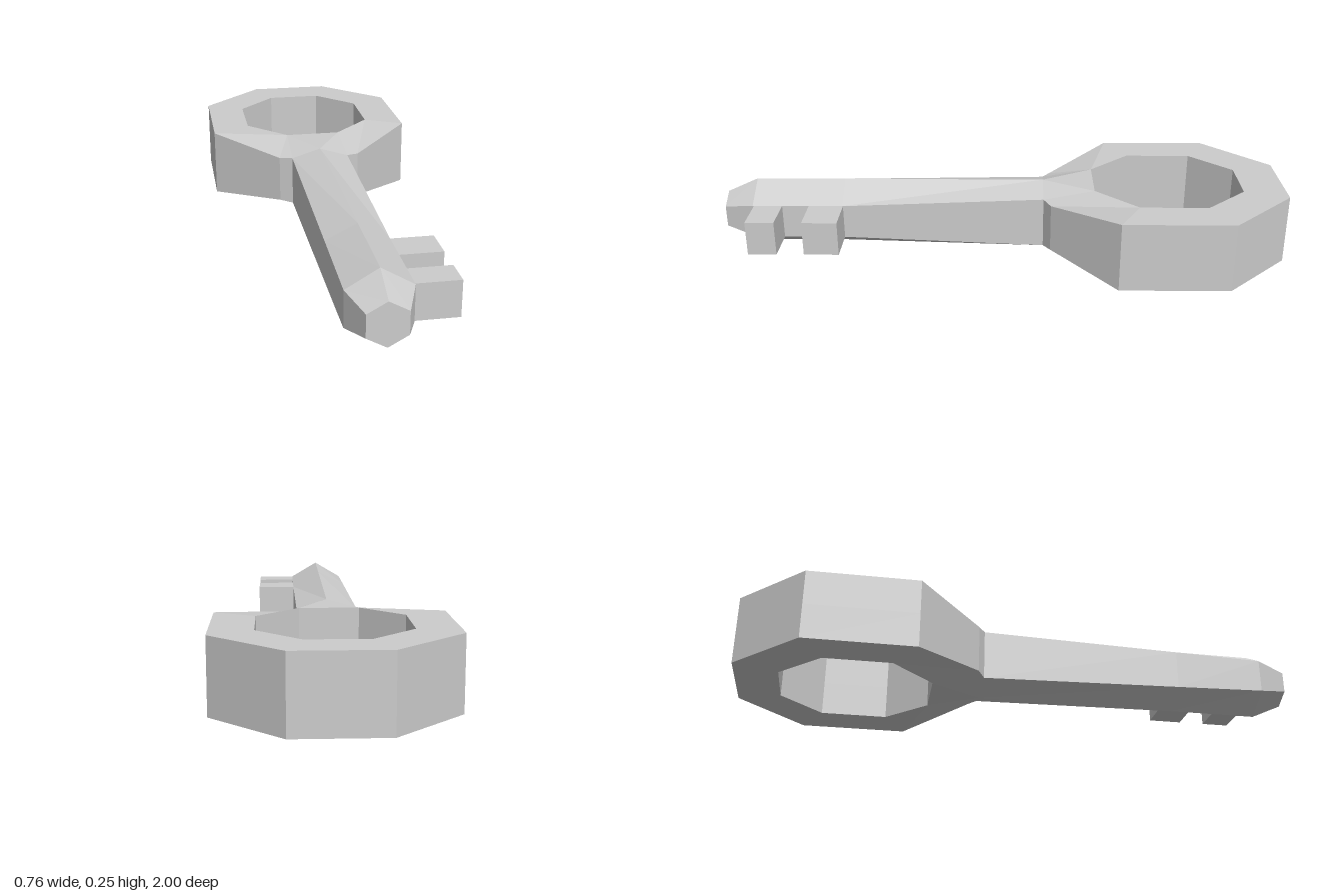
import * as THREE from 'three';

const H = 0.1225; // half the thickness of the key

// Flat-shaded geometry from polygons, each fanned from its first corner
function facesGeometry(faces) {
  const pos = [];
  for (const f of faces)
    for (let i = 1; i < f.length - 1; i++) pos.push(...f[0], ...f[i], ...f[i + 1]);
  const g = new THREE.BufferGeometry();
  g.setAttribute('position', new THREE.Float32BufferAttribute(pos, 3));
  g.computeVertexNormals();
  return g;
}

// Mirror the faces of one quarter across x and y, keeping them facing out
function mirrorQuarter(faces) {
  const out = [];
  for (const sx of [1, -1]) for (const sy of [1, -1])
    for (const f of faces) {
      const m = f.map(([x, y, z]) => [x * sx, y * sy, z]);
      out.push(sx * sy < 0 ? m.reverse() : m);
    }
  return out;
}

// Octagonal bow with its sloped joint to the shaft
function bowGeometry() {
  const outer = [[0.15, 0.085, -0.17], [0.378, H, -0.395], [0.378, H, -0.775], [0.15, H, -1], [0, H, -1]];
  const inner = [[0.1, H, -0.325], [0.24, H, -0.47], [0.24, H, -0.705], [0.1, H, -0.85], [0, H, -0.85]];
  const mid = ([x, , z]) => [x, 0, z];
  const wall = (a, b) => [mid(a), mid(b), b, a];
  const faces = [];
  for (let i = 0; i < 4; i++) {
    faces.push([outer[i], outer[i + 1], inner[i + 1], inner[i]]);
    faces.push(wall(outer[i], outer[i + 1]), wall(inner[i + 1], inner[i]));
  }
  const ridge = [0, H, -0.145], shoulder = [0.105, 0.09, -0.145], centre = [0, H, -0.325];
  faces.push([centre, ridge, inner[0]], [inner[0], ridge, shoulder], [shoulder, outer[0], inner[0]]);
  faces.push(wall(shoulder, outer[0]), wall(inner[0], centre));
  return facesGeometry(mirrorQuarter(faces));
}

// Hexagonal shaft with a tapered tip
function shaftGeometry() {
  // z, half width, ridge height, edge height on -x, edge height on +x
  const rings = [
    [1, 0.063, 0.0725, 0.0375, 0.0375],
    [0.89, 0.105, H, 0.0605, 0.0605],
    [0.57, 0.105, H, 0.07, 0.0605],
    [-0.145, 0.105, H, 0.09, 0.09],
  ].map(([z, w, t, l, r]) =>
    [[0, t, z], [-w, l, z], [-w, -l, z], [0, -t, z], [w, -r, z], [w, r, z]]);
  const faces = [rings[0]];
  for (let k = 0; k < rings.length - 1; k++)
    for (let i = 0; i < 6; i++) {
      const j = (i + 1) % 6, f = rings[k], b = rings[k + 1];
      faces.push([f[i], b[i], b[j], f[j]]);
    }
  return facesGeometry(faces);
}

export function createModel() {
  const metal = new THREE.MeshStandardMaterial({ color: 0xcccccc });
  metal.name = 'grey metal';
  const key = new THREE.Group();
  key.name = 'key';

  const add = (name, geometry, x = 0, z = 0) => {
    const mesh = new THREE.Mesh(geometry, metal);
    mesh.name = name;
    mesh.position.set(x, H, z);
    key.add(mesh);
  };

  add('bow', bowGeometry());
  add('shaft', shaftGeometry());

  // Two square teeth on the left side
  for (const [name, z0, z1] of [['rearTooth', 0.568, 0.69], ['frontTooth', 0.785, 0.885]])
    add(name, new THREE.BoxGeometry(0.152, 0.121, z1 - z0), 0.171, (z0 + z1) / 2);

  return key;
}
